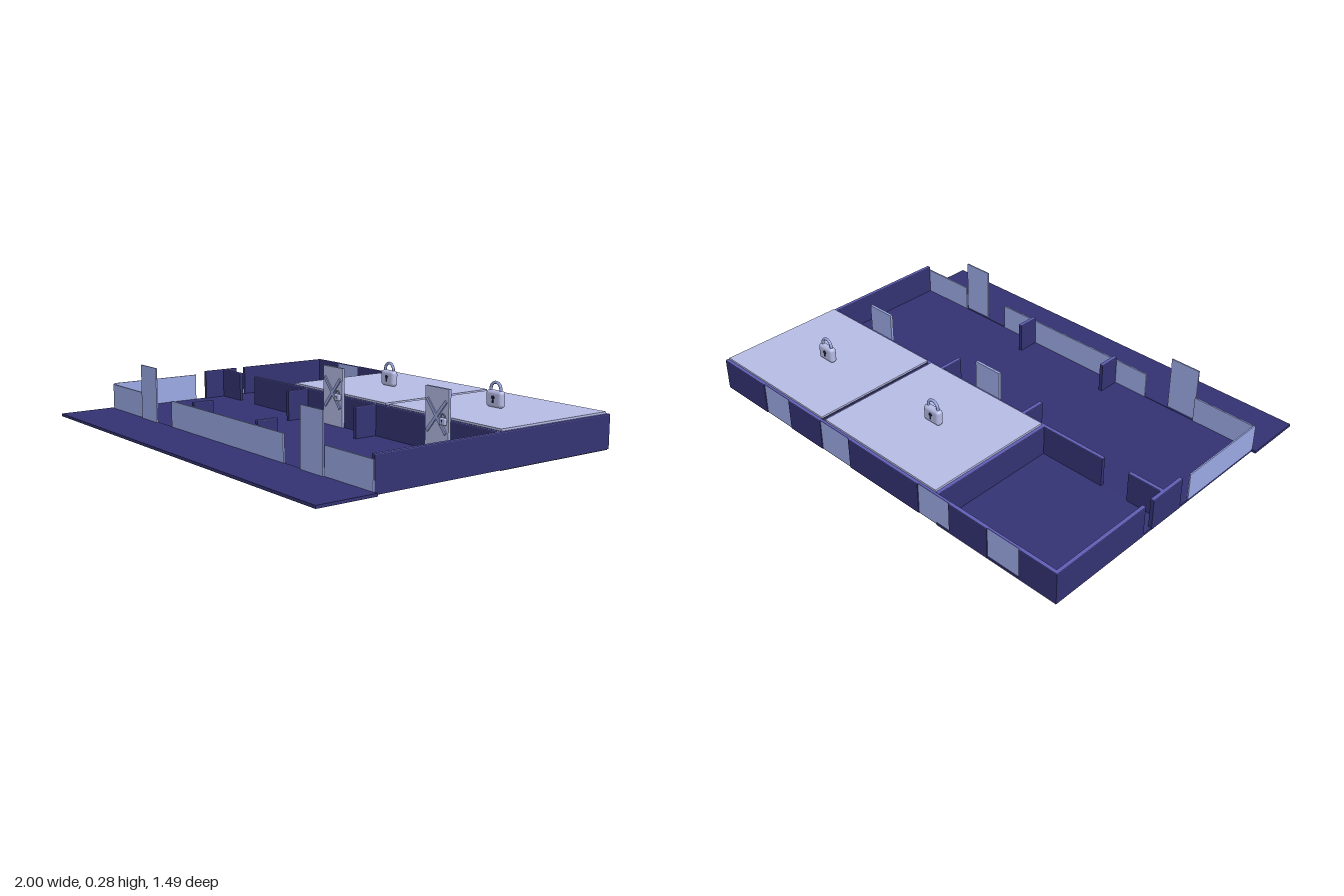
import * as THREE from 'three';
import { RoundedBoxGeometry } from 'three/addons/geometries/RoundedBoxGeometry.js';

const mat = (name, color) => new THREE.MeshStandardMaterial({ name, color });

export function createModel() {
  const model = new THREE.Group();
  model.name = 'floorPlan';

  const navy = mat('navy', 0x333272);
  const trim = mat('wallTop', 0x5f5db4);
  const glass = mat('blueGlass', 0x9aa8e2);
  const lilac = mat('paleLilac', 0xb5bae4);
  const dark = mat('darkFloor', 0x1e1f36);

  // Box given by its lower and upper limits
  function block(name, x0, x1, y0, y1, z0, z1, material, parent = model) {
    const mesh = new THREE.Mesh(new THREE.BoxGeometry(x1 - x0, y1 - y0, z1 - z0), material);
    mesh.position.set((x0 + x1) / 2, (y0 + y1) / 2, (z0 + z1) / 2);
    mesh.name = name;
    parent.add(mesh);
    return mesh;
  }

  const FLOOR = 0.012, TOP = 0.148, CAP = 0.003, T = 0.008;

  // Wall body with a lighter cap
  function wall(name, x0, x1, z0, z1, material = navy) {
    const g = new THREE.Group();
    g.name = name;
    block('wallBody', x0, x1, 0.004, TOP - CAP, z0, z1, material, g);
    block('wallCap', x0, x1, TOP - CAP, TOP, z0, z1, trim, g);
    model.add(g);
  }
  const wallX = (name, x0, x1, z) => wall(name, x0, x1, z - T, z + T);
  const wallZ = (name, x, z0, z1) => wall(name, x - T, x + T, z0, z1);

  // Floors: front terrace, halls and the closed rooms
  block('terrace', -1, 1, 0.002, 0.014, 0.48, 0.745, navy);
  block('hallFloor', -0.98, 0.98, 0.002, FLOOR, -0.13, 0.48, navy);
  block('openRoomFloor', -0.98, -0.37, 0.002, FLOOR, -0.745, -0.13, navy);
  block('closedRoomFloor', -0.37, 0.98, 0, FLOOR, -0.74, -0.13, dark);

  // Back wall: solid pieces with slightly recessed windows between them
  const cuts = [-0.982, -0.8, -0.64, -0.44, -0.27, 0.14, 0.32, 0.53, 0.7, 0.982];
  for (let i = 0; i < cuts.length - 1; i++) {
    if (i % 2 === 0) wallX('backWall', cuts[i], cuts[i + 1], -0.738);
    else wall('backWindow', cuts[i], cuts[i + 1], -0.742, -0.731, glass);
  }

  // Side walls; the model's right one has two gaps and a glass front part
  wallZ('leftWall', 0.974, -0.73, 0.48);
  wallZ('rightWall', -0.974, -0.73, -0.25);
  wallZ('rightWallPier', -0.974, -0.2, -0.02);
  block('rightGlass', -0.98, -0.974, FLOOR, 0.135, 0.035, 0.48, glass);

  // Cross wall, room dividers and short stubs
  wallX('crossWallShort', -0.966, -0.81, -0.13);
  wallX('crossWall', -0.68, 0.966, -0.13);
  wallZ('roomDivider', -0.365, -0.73, -0.138);
  wallZ('roomDivider', 0.307, -0.73, -0.138);
  for (const x of [-0.245, 0.245]) {
    wallZ('rearStub', x, -0.122, -0.015);
    wallZ('frontStub', x, 0.38, 0.478);
  }

  // Glass front and its two tall open doors
  for (const [a, b] of [[-0.98, -0.68], [-0.42, 0.44], [0.7, 0.98]])
    block('frontGlass', a, b, FLOOR, 0.13, 0.478, 0.485, glass);
  for (const x of [-0.68, 0.56])
    block('frontDoor', x, x + 0.14, FLOOR, 0.26, 0.487, 0.493, glass);

  // Padlock standing on y = 0
  function padlock(scale) {
    const g = new THREE.Group();
    g.name = 'padlock';
    const body = new THREE.Mesh(new RoundedBoxGeometry(0.09, 0.072, 0.034, 4, 0.015), lilac);
    body.name = 'lockBody';
    body.position.y = 0.036;
    const arch = new THREE.Mesh(new THREE.TorusGeometry(0.028, 0.0065, 8, 20, Math.PI), glass);
    arch.name = 'shackle';
    arch.position.y = 0.076;
    g.add(body, arch);
    for (const s of [-1, 1]) {
      const leg = new THREE.Mesh(new THREE.CylinderGeometry(0.0065, 0.0065, 0.014, 8), glass);
      leg.name = 'shackleLeg';
      leg.position.set(s * 0.028, 0.07, 0);
      g.add(leg);
      // Keyhole on both faces
      const hole = new THREE.Mesh(new THREE.CylinderGeometry(0.009, 0.009, 0.003, 14), dark);
      hole.name = 'keyhole';
      hole.rotation.x = Math.PI / 2;
      hole.position.set(0, 0.043, s * 0.017);
      g.add(hole);
      block('keyholeSlot', -0.004, 0.004, 0.02, 0.042, s * 0.017 - 0.0015, s * 0.017 + 0.0015, dark, g);
    }
    g.scale.setScalar(scale);
    return g;
  }

  // Lids over the closed rooms, each with a padlock
  for (const [a, b, x] of [[-0.358, 0.298, -0.033], [0.322, 0.972, 0.645]]) {
    block('roomLid', a, b, 0.149, 0.158, -0.732, -0.137, lilac);
    const lock = padlock(1);
    lock.position.set(x, 0.159, -0.435);
    model.add(lock);
  }

  // Locked doors: blue back, pale front, crossed chains and a small padlock
  for (const x of [-0.033, 0.645]) {
    const door = new THREE.Group();
    door.name = 'lockedDoor';
    block('doorPanel', -0.068, 0.068, FLOOR, 0.275, -0.006, 0.003, glass, door);
    block('doorFront', -0.068, 0.068, FLOOR, 0.275, 0.003, 0.006, lilac, door);
    for (const s of [-1, 1]) {
      const chain = block('chain', -0.007, 0.007, 0.075, 0.245, 0.005, 0.011, glass, door);
      chain.rotation.z = s * 0.7;
    }
    const lock = padlock(0.42);
    lock.position.set(0.042, 0.13, 0.012);
    door.add(lock);
    door.position.set(x, 0, -0.116);
    model.add(door);
  }

  return model;
}
